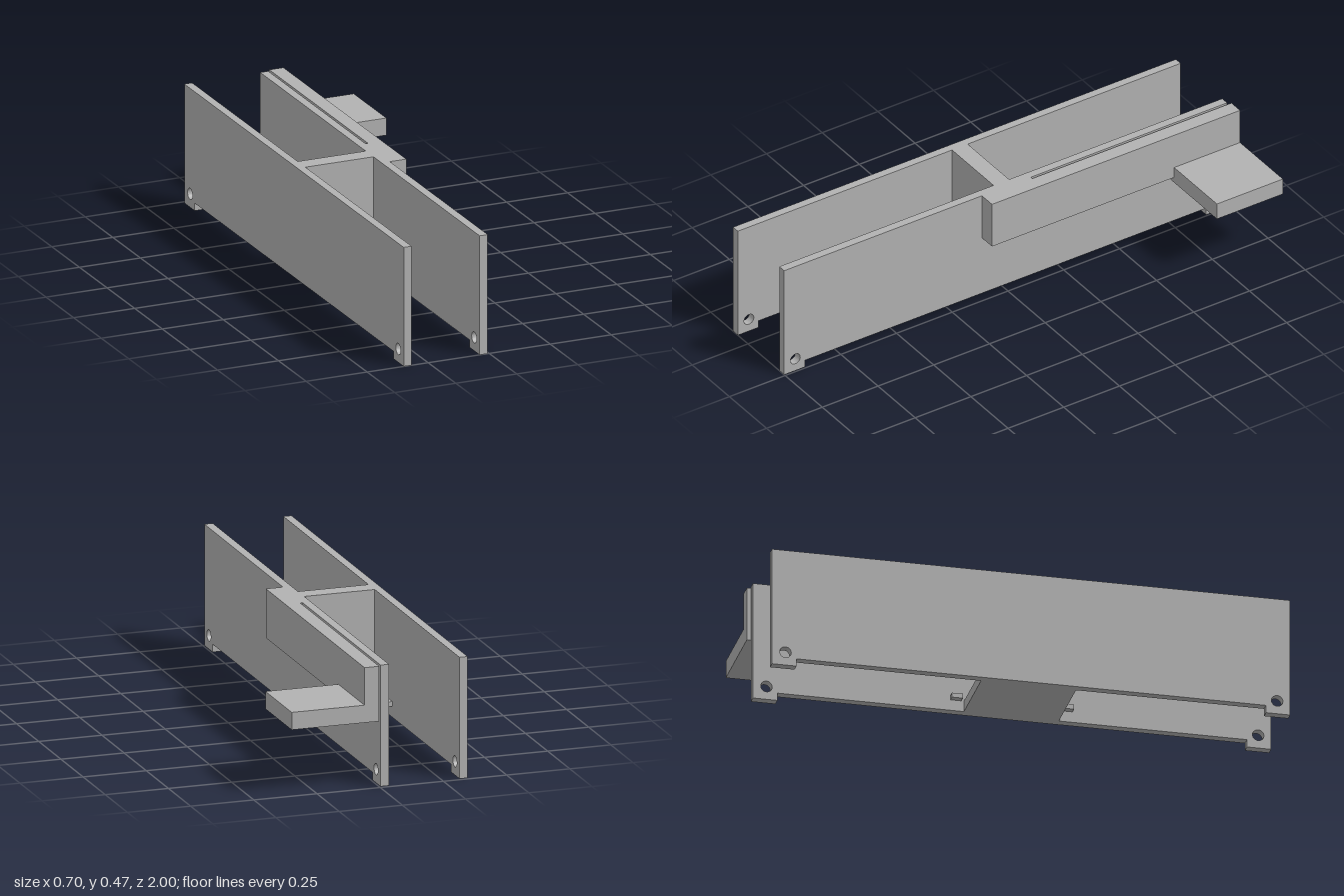
import * as THREE from 'three';

const grey = new THREE.MeshStandardMaterial({ color: 0xb2b2b2 });
grey.name = 'plain grey';

// Box given by its limits along each axis
function block(name, [x0, x1], [y0, y1], [z0, z1]) {
  const mesh = new THREE.Mesh(new THREE.BoxGeometry(x1 - x0, y1 - y0, z1 - z0), grey);
  mesh.position.set((x0 + x1) / 2, (y0 + y1) / 2, (z0 + z1) / 2);
  mesh.name = name;
  return mesh;
}

// Side plate with a drilled foot at each end, cut out in the z-y plane
function sidePlate(name, x0, x1) {
  const outline = [
    [-0.987, 0], [-0.893, 0], [-0.893, 0.03], [0.907, 0.03],
    [0.907, 0], [1, 0], [1, 0.472], [-0.987, 0.472],
  ];
  const shape = new THREE.Shape(outline.map(([z, y]) => new THREE.Vector2(z, y)));
  for (const z of [-0.935, 0.95]) {
    const hole = new THREE.Path();
    hole.absarc(z, 0.053, 0.022, 0, Math.PI * 2, true);
    shape.holes.push(hole);
  }
  const geo = new THREE.ExtrudeGeometry(shape, { depth: x1 - x0, bevelEnabled: false, curveSegments: 16 });
  geo.rotateY(-Math.PI / 2).translate(x1, 0, 0);
  const mesh = new THREE.Mesh(geo, grey);
  mesh.name = name;
  return mesh;
}

export function createModel() {
  const model = new THREE.Group();
  model.name = 'slottedBracket';
  const inner = [-0.318, -0.039];
  const midZ = 0.004;

  // Two long plates joined by a cross wall and a short floor
  model.add(
    sidePlate('rightPlate', -0.35, inner[0]),
    sidePlate('leftPlate', inner[1], -0.006),
    block('crossWall', inner, [0.03, 0.472], [midZ - 0.035, midZ + 0.035]),
    block('floor', inner, [0.03, 0.073], [midZ - 0.182, midZ + 0.182]),
  );

  // Small retaining tabs on the inner walls beyond each floor edge
  for (const x of [[inner[0], -0.292], [-0.064, inner[1]]]) {
    for (const s of [-1, 1]) {
      const z = midZ + s * 0.213;
      model.add(block('tab', x, [0.073, 0.091], [z - 0.021, z + 0.021]));
    }
  }

  // Spring bar: solid root, then a free length behind a narrow slot
  model.add(
    block('barRoot', [-0.006, 0.062], [0.281, 0.472], [-0.107, 0.113]),
    block('bar', [0.004, 0.062], [0.281, 0.472], [-1, -0.107]),
    block('thumbPad', [0.004, 0.35], [0.258, 0.326], [-1, -0.704]),
  );
  return model;
}
